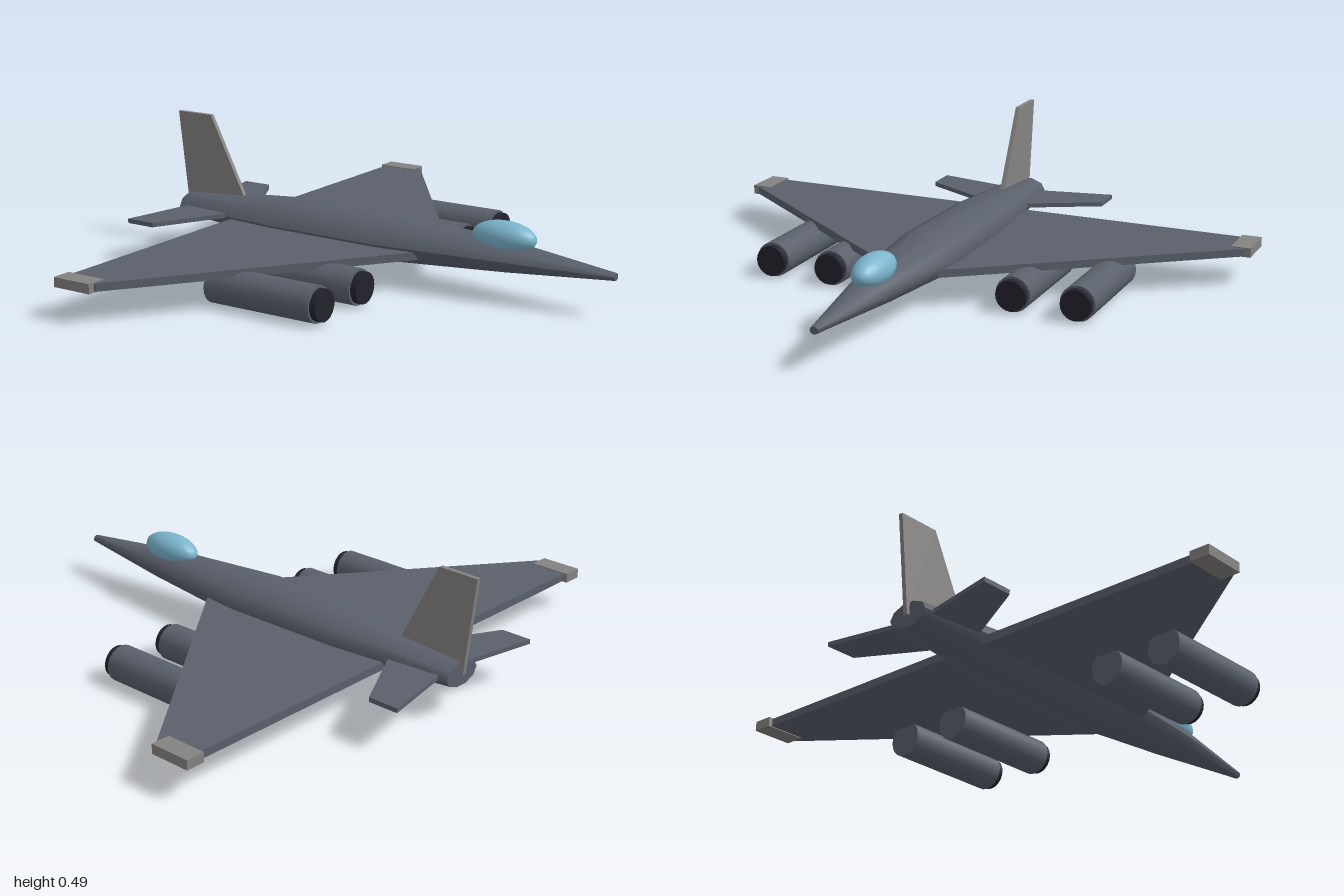
import * as THREE from 'three';

const mat = (name, color) => Object.assign(new THREE.MeshStandardMaterial({ color }), { name });

// Fuselage stations, tail to nose: x, centre y, half height, half width
const STATIONS = [
  [-0.85, 0.147, 0.044, 0.078],
  [-0.4, 0.145, 0.078, 0.12],
  [0.05, 0.146, 0.082, 0.13],
  [0.5, 0.145, 0.052, 0.08],
  [0.9, 0.138, 0.013, 0.015],
];

// Ten-sided tube shaped by the stations
function fuselageGeometry() {
  const n = STATIONS.length - 1;
  const g = new THREE.CylinderGeometry(1, 1, n, 10, n);
  g.rotateZ(-Math.PI / 2);
  const p = g.attributes.position;
  for (let i = 0; i < p.count; i++) {
    const [x, cy, ry, rz] = STATIONS[Math.round(p.getX(i) + n / 2)];
    p.setXYZ(i, x, cy + p.getY(i) * ry, p.getZ(i) * rz);
  }
  g.computeVertexNormals();
  return g;
}

const extrude = (points, depth) => new THREE.ExtrudeGeometry(
  new THREE.Shape(points.map(([a, b]) => new THREE.Vector2(a, b))),
  { depth, bevelEnabled: false });

// Horizontal plate from an x/z outline
const plate = (points, side, bottom, top) =>
  extrude(points.map(([x, z]) => [x, z * side]), top - bottom)
    .rotateX(Math.PI / 2).translate(0, top, 0);

// Cylinder lying along x
const pod = (r, x0, x1) => new THREE.CylinderGeometry(r, r, x1 - x0, 20)
  .rotateZ(-Math.PI / 2).translate((x0 + x1) / 2, 0, 0);

export function createModel() {
  const group = new THREE.Group();
  const hull = mat('slate hull', 0x5a606b);
  const trim = mat('grey trim', 0x858381);
  const dark = mat('dark intake', 0x22222c);
  const glass = mat('blue glass', 0x7ab4cc);

  const add = (name, geometry, material, parent = group) => {
    const m = new THREE.Mesh(geometry, material);
    m.name = name;
    parent.add(m);
    return m;
  };

  add('fuselage', fuselageGeometry(), hull);

  // Canopy bubble
  const canopy = add('canopy', new THREE.SphereGeometry(1, 24, 16), glass);
  canopy.scale.set(0.12, 0.055, 0.059);
  canopy.position.set(0.485, 0.211, 0);

  // Vertical tail
  add('tailFin', extrude([[-0.86, 0.145], [-0.575, 0.145], [-0.75, 0.49], [-0.9, 0.49]], 0.016)
    .translate(0, 0, -0.008), trim);

  // Wings, tailplanes and engines on both sides
  for (const side of [1, -1]) {
    const name = side > 0 ? 'left' : 'right';
    add(name + 'Wing', plate([[-0.6, 0], [0.2, 0], [0.2, 0.1], [-0.46, 0.975], [-0.6, 0.975]], side, 0.109, 0.137), hull);
    add(name + 'WingTip', new THREE.BoxGeometry(0.15, 0.034, 0.07)
      .translate(-0.54, 0.123, side * 0.965), trim);
    add(name + 'Tailplane', plate([[-0.8, 0], [-0.57, 0], [-0.755, 0.347], [-0.868, 0.347]], side, 0.139, 0.155), hull);
    for (const z of [0.345, 0.577]) {
      const engine = new THREE.Group();
      engine.name = name + (z < 0.5 ? 'InnerEngine' : 'OuterEngine');
      engine.position.set(0, 0.064, side * z);
      add('engineCasing', pod(0.063, -0.29, 0.132), hull, engine);
      add('engineIntake', pod(0.055, 0.12, 0.155), dark, engine);
      group.add(engine);
    }
  }
  return group;
}
